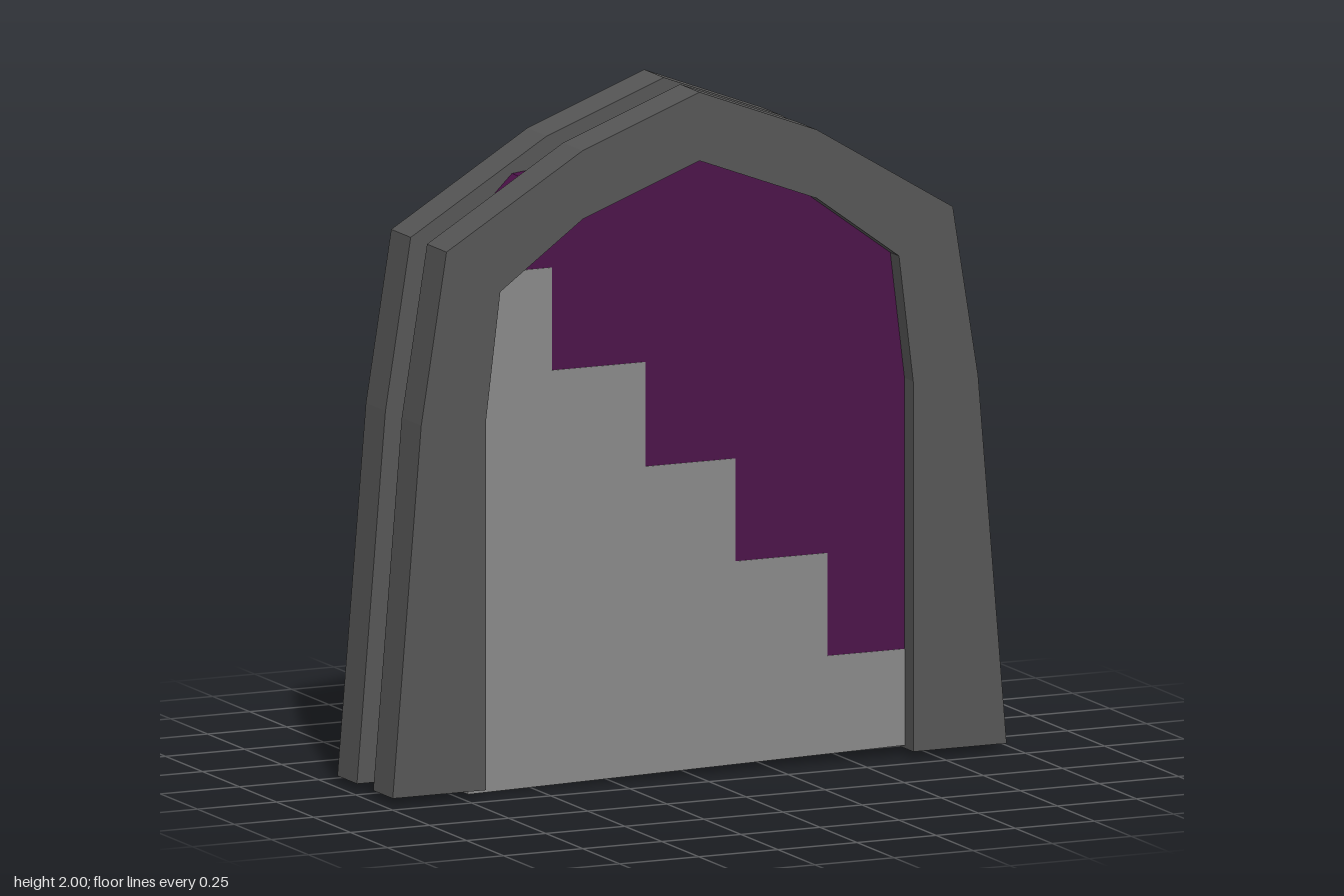
import * as THREE from 'three';

// Extrude a 2D outline between two z planes
function slab(name, points, zBack, zFront, color) {
  const shape = new THREE.Shape(points.map(([x, y]) => new THREE.Vector2(x, y)));
  const geometry = new THREE.ExtrudeGeometry(shape, { depth: zFront - zBack, bevelEnabled: false });
  geometry.translate(0, 0, zBack);
  const mesh = new THREE.Mesh(geometry, new THREE.MeshStandardMaterial({ color, flatShading: true }));
  mesh.name = name;
  return mesh;
}

// Mirror a right-hand half outline (ending at the apex on x = 0) across x
const mirror = (half) => [...half, ...half.slice(0, -1).reverse().map(([x, y]) => [-x, y])];

export function createModel() {
  const group = new THREE.Group();
  group.name = 'steppedArchway';

  // Two matching arch frames, open at the bottom
  const outer = mirror([[0.97, 0.02], [0.88, 1.1], [0.8, 1.6], [0.37, 1.86], [0, 2]]);
  const inner = mirror([[0.675, 0.02], [0.675, 1.1], [0.63, 1.47], [0.37, 1.66], [0, 1.8]]);
  const arch = [...outer, ...inner.reverse()];
  group.add(slab('frontArch', arch, 0.055, 0.187, 0x555555));
  group.add(slab('backArch', arch, -0.187, -0.055, 0x555555));

  // Stair profile, descending towards +x
  const edges = [-0.44, -0.145, 0.14, 0.43, 0.74];
  const heights = [1.515, 1.215, 0.91, 0.61, 0.31];
  const steps = [[-0.725, heights[0]]];
  edges.forEach((x, i) => {
    steps.push([x, heights[i]]);
    if (i < 4) steps.push([x, heights[i + 1]]);
  });
  group.add(slab('stairs', [[-0.705, 0], ...steps, [0.74, 0.03]].reverse(), -0.145, 0.13, 0x888888));

  // Coloured panel filling the opening above the stairs
  const lower = [[-0.73, heights[0]], ...steps.slice(1, -1), [0.73, heights[4]]];
  const top = [[0.73, 1.49], [0.48, 1.76], [0, 1.81], [-0.48, 1.76]];
  group.add(slab('portalPanel', [...lower, ...top], -0.138, 0.128, 0x4b1048));

  return group;
}
